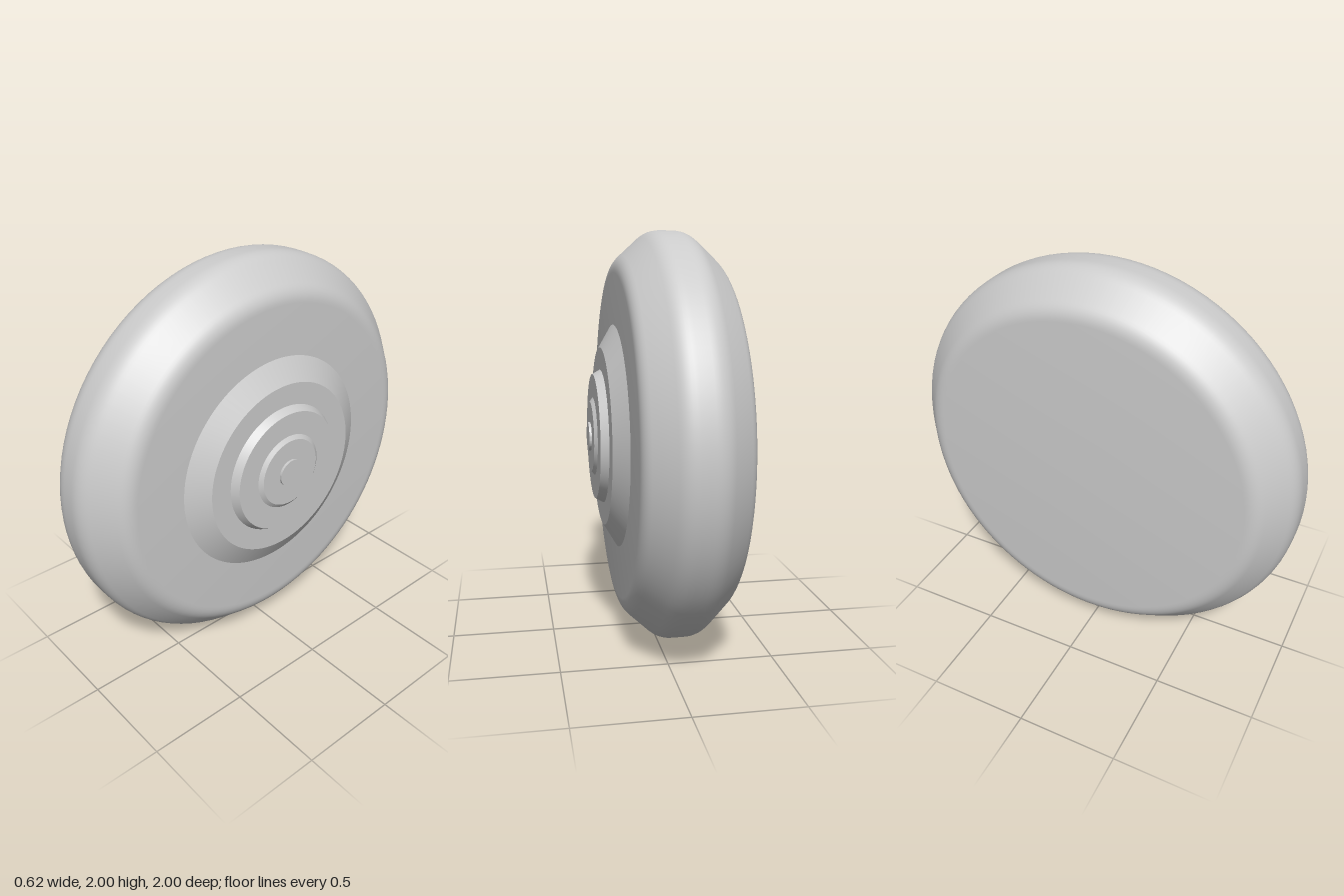
import * as THREE from 'three';
import { toCreasedNormals } from 'three/addons/utils/BufferGeometryUtils.js';

const V = (x, r) => new THREE.Vector2(r, x);

// Rounds the inner corners of a profile with a short curve of the given reach.
function roundProfile(points, reach) {
  const out = [points[0]];
  for (let i = 1; i < points.length - 1; i++) {
    const p = points[i];
    const toward = q => p.clone().add(q.clone().sub(p).setLength(reach));
    const curve = new THREE.QuadraticBezierCurve(toward(points[i - 1]), p, toward(points[i + 1]));
    out.push(...curve.getPoints(6));
  }
  out.push(points[points.length - 1]);
  return out;
}

// Spins a profile of (x, radius) points around the x axle.
function spin(name, profile, color = 0xcccccc) {
  const lathe = new THREE.LatheGeometry(profile, 96);
  lathe.rotateZ(-Math.PI / 2);
  const mesh = new THREE.Mesh(
    toCreasedNormals(lathe, Math.PI / 7),
    new THREE.MeshStandardMaterial({ color })
  );
  mesh.name = name;
  return mesh;
}

export function createModel() {
  const wheel = new THREE.Group();
  wheel.name = 'wheel';

  // Tyre: a disc with bevelled, softened shoulders and flat sides
  wheel.add(spin('tyre', roundProfile([
    V(-0.31, 0), V(-0.31, 0.85), V(-0.145, 1), V(0.015, 1), V(0.18, 0.85), V(0.18, 0)
  ], 0.05)));

  // Stepped hub on the outer side: base cone, ring, cap and axle pin
  const steps = [
    ['hubBase', 0.18, 0.55, 0.245, 0.44],
    ['hubRing', 0.245, 0.33, 0.283, 0.308],
    ['hubCap', 0.283, 0.192, 0.298, 0.172],
    ['axlePin', 0.298, 0.07, 0.31, 0.07, 0xffffff]
  ];
  for (const [name, x0, r0, x1, r1, color] of steps) {
    wheel.add(spin(name, [V(x0, r0), V(x1, r1), V(x1, 0)], color));
  }

  wheel.position.y = 1;
  const model = new THREE.Group();
  model.add(wheel);
  return model;
}
